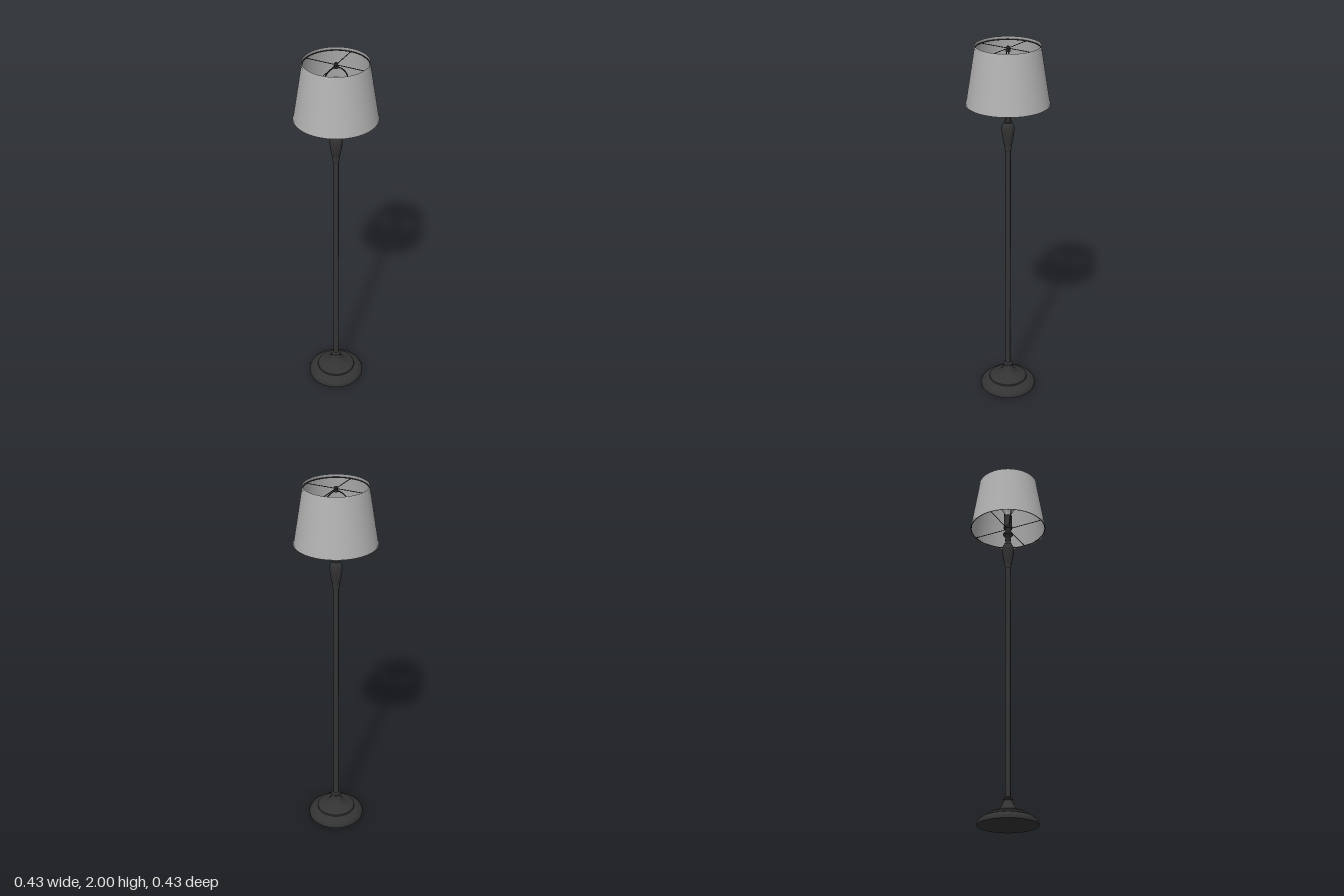
import * as THREE from 'three';
import { toCreasedNormals } from 'three/addons/utils/BufferGeometryUtils.js';

const iron = new THREE.MeshStandardMaterial({ color: 0x333333 });
iron.name = 'dark iron';
const fabric = new THREE.MeshStandardMaterial({ color: 0xb2b2b2, side: THREE.DoubleSide });
fabric.name = 'grey fabric';
const glass = new THREE.MeshStandardMaterial({ color: 0xc4c4c4 });
glass.name = 'bulb glass';

export function createModel() {
  const lamp = new THREE.Group();
  lamp.name = 'floorLamp';

  const add = (name, geometry, material, parent = lamp) => {
    const mesh = new THREE.Mesh(geometry, material);
    mesh.name = name;
    parent.add(mesh);
    return mesh;
  };
  // Turned part from [radius, height] pairs, listed from bottom to top
  const turned = (name, profile, material, sides = 48) => {
    const points = profile.map(([r, y]) => new THREE.Vector2(r, y));
    return add(name, toCreasedNormals(new THREE.LatheGeometry(points, sides), 0.6), material);
  };

  // Stepped foot sweeping up to the pole
  turned('base', [
    [0, 0], [0.155, 0], [0.156, 0.01], [0.15, 0.022], [0.137, 0.034], [0.116, 0.044],
    [0.107, 0.047], [0.105, 0.055], [0.094, 0.062], [0.086, 0.064], [0.066, 0.071],
    [0.047, 0.082], [0.034, 0.097], [0.026, 0.115], [0.022, 0.125], [0.026, 0.129],
    [0.026, 0.136], [0.021, 0.141], [0.015, 0.143],
  ], iron, 64);

  // Straight pole
  turned('pole', [[0.015, 0.13], [0.015, 1.46]], iron, 32);

  // Turned vase, neck and cup under the socket
  turned('baluster', [
    [0.015, 1.445], [0.018, 1.45], [0.018, 1.457], [0.017, 1.462], [0.022, 1.485],
    [0.029, 1.52], [0.033, 1.55], [0.033, 1.573], [0.029, 1.589], [0.021, 1.599],
    [0.021, 1.606], [0.015, 1.61], [0.014, 1.622], [0.018, 1.628], [0.018, 1.636],
    [0.014, 1.642], [0.017, 1.652], [0.027, 1.662], [0.028, 1.672], [0.02, 1.682],
    [0.014, 1.69], [0.014, 1.71],
  ], iron);

  // Lamp holder and bulb
  turned('socket', [
    [0, 1.705], [0.024, 1.705], [0.027, 1.715], [0.022, 1.725], [0.022, 1.79], [0, 1.79],
  ], iron, 32);
  turned('bulb', [
    [0.015, 1.788], [0.019, 1.805], [0.032, 1.828], [0.043, 1.847], [0.047, 1.868],
    [0.044, 1.887], [0.035, 1.903], [0.021, 1.912], [0.008, 1.915], [0, 1.915],
  ], glass, 32);

  // Wire harp arching over the bulb
  const harpPath = new THREE.CatmullRomCurve3([
    [-0.02, 1.715], [-0.035, 1.735], [-0.058, 1.8], [-0.065, 1.87], [-0.048, 1.94], [0, 1.972],
    [0.048, 1.94], [0.065, 1.87], [0.058, 1.8], [0.035, 1.735], [0.02, 1.715],
  ].map(([x, y]) => new THREE.Vector3(x, y, 0)));
  add('harp', new THREE.TubeGeometry(harpPath, 60, 0.003, 8), iron);

  // Small knob holding the shade on the harp
  turned('finial', [
    [0, 1.968], [0.012, 1.968], [0.012, 1.978], [0.007, 1.981], [0.01, 1.987],
    [0.008, 1.994], [0, 1.997],
  ], iron, 24);

  // Tapered open shade with thin hem bands
  turned('shade', [[0.213, 1.7], [0.164, 2]], fabric, 64);
  turned('lowerHem', [[0.2155, 1.7], [0.2135, 1.712]], fabric, 64);
  turned('upperHem', [[0.168, 1.988], [0.166, 2]], fabric, 64);

  // Wire ring with four spokes at each end of the shade
  const addFrame = (name, y, radius) => {
    const frame = new THREE.Group();
    frame.name = name;
    frame.position.y = y;
    lamp.add(frame);
    add('ring', new THREE.TorusGeometry(radius, 0.003, 8, 64), iron, frame).rotation.x = Math.PI / 2;
    for (let i = 0; i < 2; i++) {
      const spoke = add('spoke', new THREE.CylinderGeometry(0.002, 0.002, radius * 2, 8), iron, frame);
      spoke.rotation.set(Math.PI / 2, 0, Math.PI / 4 + i * Math.PI / 2);
    }
  };
  addFrame('upperFrame', 1.984, 0.163);
  addFrame('lowerFrame', 1.704, 0.209);

  return lamp;
}
